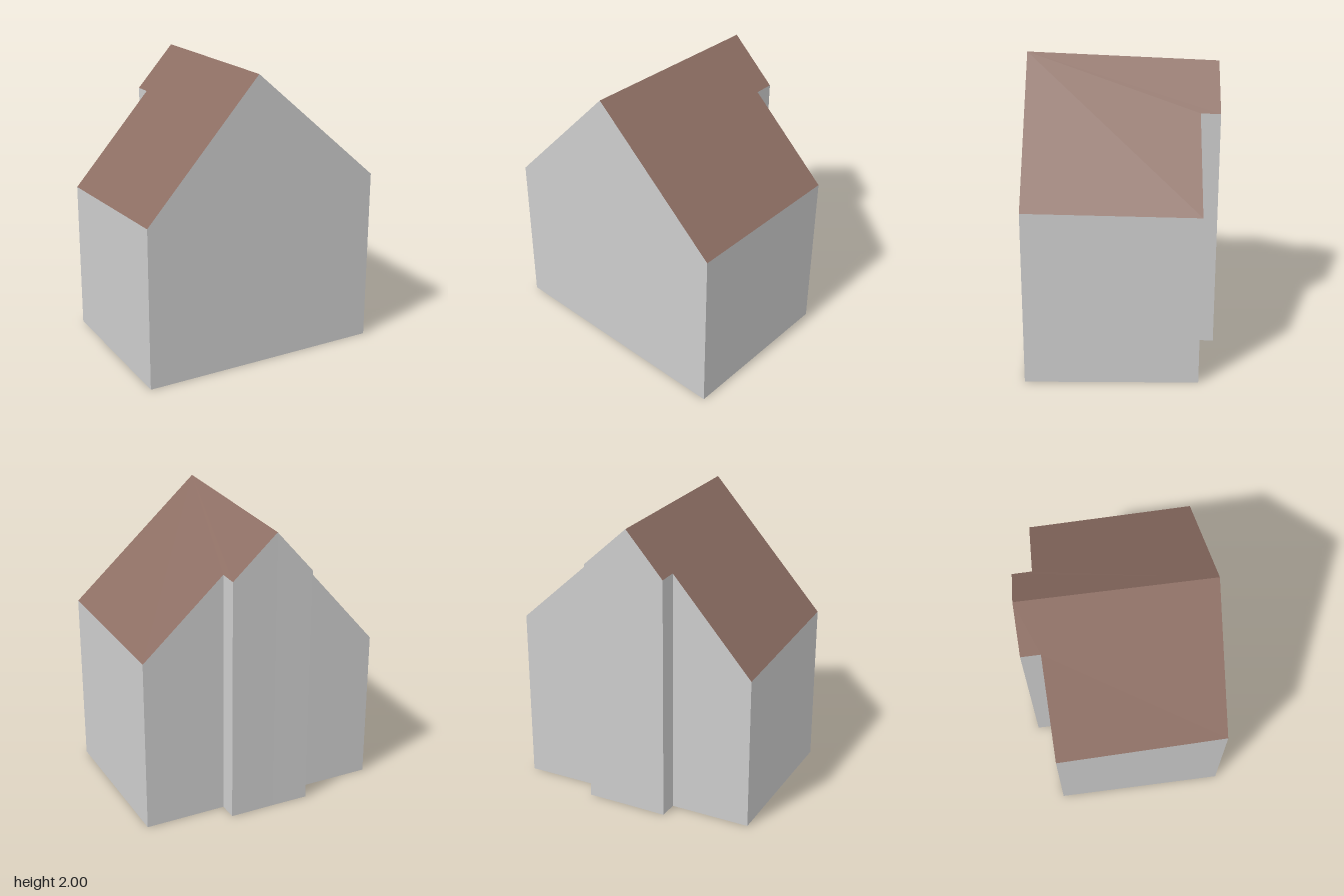
import * as THREE from 'three';

// Footprint corners, counter-clockwise from above: [x, wall height, z]
const corners = [
  [0.455, 1.115, 0.92],   // 0 front right eave
  [0.58, 2.0, 0.14],      // 1 right ridge end
  [0.72, 1.205, -0.743],  // 2 back right eave
  [-0.41, 1.18, -0.922],  // 3 back left eave
  [-0.50, 1.68, -0.37],   // 4 back inner corner of the bay
  [-0.63, 1.675, -0.392], // 5 back outer corner of the bay
  [-0.68, 1.95, -0.088],  // 6 left ridge end
  [-0.725, 1.66, 0.167],  // 7 front outer corner of the bay
  [-0.595, 1.665, 0.19],  // 8 front inner corner of the bay
  [-0.685, 1.04, 0.735],  // 9 front left eave
].map((c) => new THREE.Vector3(...c));
const ground = (p) => new THREE.Vector3(p.x, 0, p.z);

function meshFrom(name, points, material) {
  const geometry = new THREE.BufferGeometry().setFromPoints(points);
  geometry.computeVertexNormals();
  const mesh = new THREE.Mesh(geometry, material);
  mesh.name = name;
  return mesh;
}

// Triangulate a polygon by its plan, facing up or down
function fill(points, faceDown = false) {
  const plan = points.map((p) => new THREE.Vector2(p.x, -p.z));
  return THREE.ShapeUtils.triangulateShape(plan, []).flatMap(([a, b, c]) =>
    (faceDown ? [a, c, b] : [a, b, c]).map((i) => points[i]));
}

export function createModel() {
  const wall = new THREE.MeshStandardMaterial({ color: 0xcccccc });
  wall.name = 'lightGreyWall';
  const roof = new THREE.MeshStandardMaterial({ color: 0x8d6e63 });
  roof.name = 'brownRoof';

  const house = new THREE.Group();
  house.name = 'house';

  // Upright walls around the footprint
  const wallPoints = corners.flatMap((p, i) => {
    const q = corners[(i + 1) % corners.length];
    return [ground(p), ground(q), q, ground(p), q, p];
  });
  house.add(meshFrom('walls', wallPoints, wall));

  // Underside
  house.add(meshFrom('floor', fill(corners.map(ground), true), wall));

  // Two roof slopes meeting at the ridge
  const slopes = { frontRoof: [0, 1, 6, 7, 8, 9], backRoof: [1, 2, 3, 4, 5, 6] };
  for (const [name, ids] of Object.entries(slopes)) {
    house.add(meshFrom(name, fill(ids.map((i) => corners[i])), roof));
  }
  return house;
}
